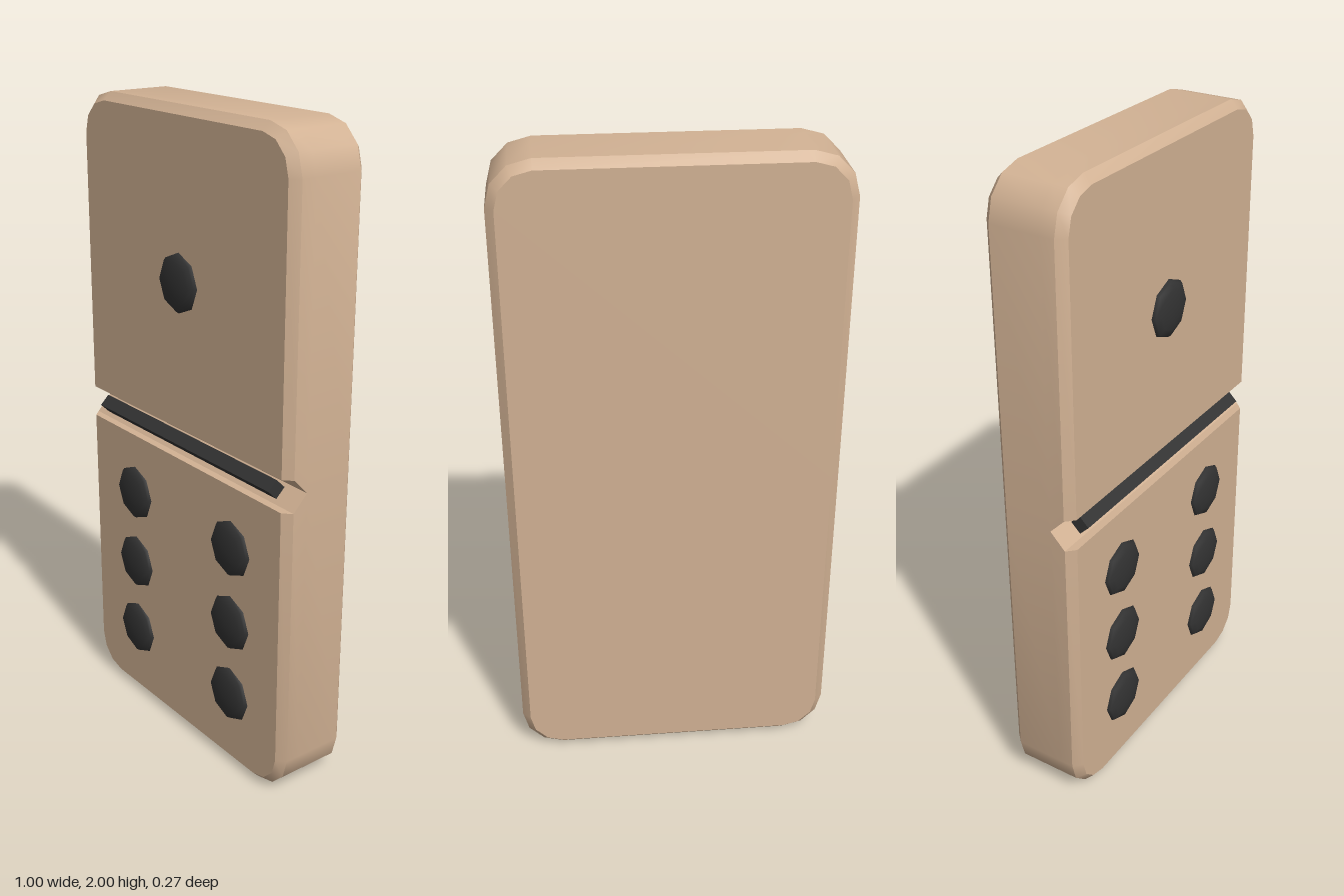
import * as THREE from 'three';
import { toCreasedNormals } from 'three/addons/utils/BufferGeometryUtils.js';

const FRONT = 0.112, BACK = -0.137, CHAMFER = 0.025, RADIUS = 0.13;

// Upper half outline, relative to the tile centre, counter-clockwise from the front
function outline(inset, bottom, z) {
  const w = 0.5 - inset, r = RADIUS - inset, steps = 3;
  const points = [[-w, bottom, z], [w, bottom, z]];
  for (const side of [0, 1]) {
    for (let i = 0; i <= steps; i++) {
      const a = (side + i / steps) * Math.PI / 2;
      const cx = (side ? -1 : 1) * (0.5 - RADIUS);
      points.push([cx + r * Math.cos(a), 1 - RADIUS + r * Math.sin(a), z]);
    }
  }
  return points;
}

// Chamfered half tile, with half of the V groove along its inner edge
function halfTileGeometry() {
  const layers = [
    outline(CHAMFER, 0, BACK),
    outline(0, 0, BACK + CHAMFER),
    outline(0, 0, 0.04),
    outline(0, 0.05, FRONT - CHAMFER),
    outline(CHAMFER, 0.05, FRONT),
  ];
  const n = layers[0].length, out = [];
  const tri = (a, b, c) => out.push(...a, ...b, ...c);
  for (let k = 0; k < layers.length - 1; k++) {
    for (let i = 0; i < n; i++) {
      if (i === 0 && k < 2) continue; // the halves join here
      const j = (i + 1) % n, lo = layers[k], hi = layers[k + 1];
      tri(lo[i], lo[j], hi[j]);
      tri(lo[i], hi[j], hi[i]);
    }
  }
  const back = layers[0], front = layers[layers.length - 1];
  for (let i = 1; i < n - 1; i++) {
    tri(front[0], front[i], front[i + 1]);
    tri(back[0], back[i + 1], back[i]);
  }
  const geometry = new THREE.BufferGeometry();
  geometry.setAttribute('position', new THREE.Float32BufferAttribute(out, 3));
  return toCreasedNormals(geometry, 0.6);
}

export function createModel() {
  const group = new THREE.Group();
  group.name = 'domino';
  const tan = new THREE.MeshStandardMaterial({ name: 'tan', color: 0xd2b294 });
  const black = new THREE.MeshStandardMaterial({ name: 'black', color: 0x333333 });

  const add = (name, geometry, material, x, y, z) => {
    const mesh = new THREE.Mesh(geometry, material);
    mesh.name = name;
    mesh.position.set(x, y, z);
    group.add(mesh);
    return mesh;
  };

  // Tile body
  const half = halfTileGeometry();
  add('upperTile', half, tan, 0, 1, 0);
  add('lowerTile', half, tan, 0, 1, 0).rotation.z = Math.PI;

  // Divider bar set edge-on in the groove
  add('divider', new THREE.BoxGeometry(0.86, 0.041, 0.041), black, 0, 1, 0.091).rotation.x = Math.PI / 4;

  // Shallow domed pips
  const pip = new THREE.SphereGeometry(0.09, 8, 4, 0, Math.PI * 2, 0, Math.PI / 2);
  pip.rotateX(Math.PI / 2).scale(1, 1, 0.27);
  add('upperPip', pip, black, 0, 1.5, FRONT);
  for (const x of [-0.25, 0.25]) {
    for (const y of [0.25, 0.5, 0.75]) add('lowerPip', pip, black, x, y, FRONT);
  }
  return group;
}
